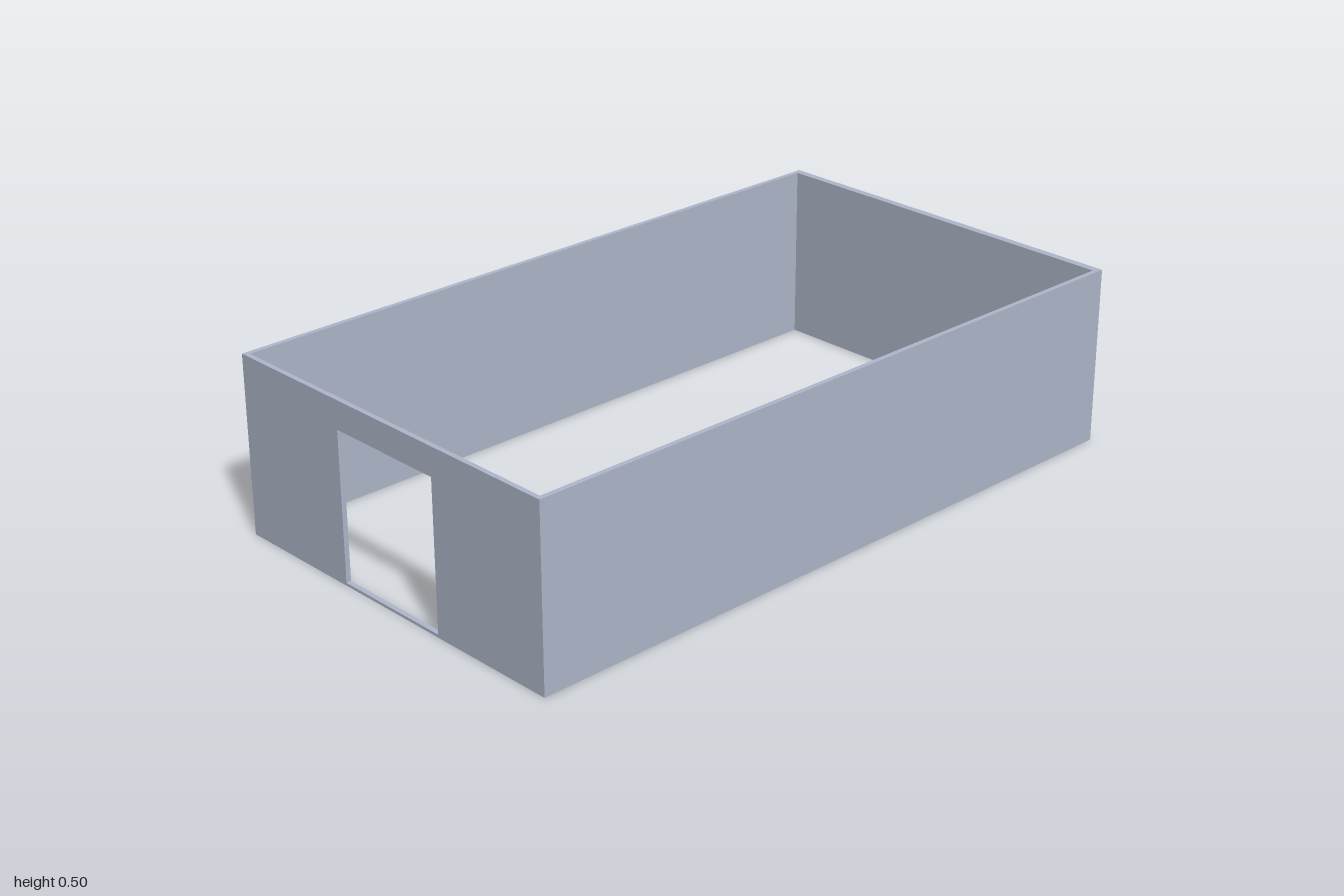
import * as THREE from 'three';

const W = 2, D = 1.13, H = 0.505;          // overall size
const T = 0.014, T_RIGHT = 0.022;          // wall thicknesses
const BASE = 0.008;                        // sill strip under the walls

export function createModel() {
  const model = new THREE.Group();
  model.name = 'walledRoom';
  const wallPaint = new THREE.MeshStandardMaterial({ color: 0xb0b8cc });
  wallPaint.name = 'blue grey wall';

  const add = (name, geometry, x, y, z) => {
    const mesh = new THREE.Mesh(geometry, wallPaint);
    mesh.name = name;
    mesh.position.set(x, y, z);
    model.add(mesh);
    return mesh;
  };

  // Base strip: a thin ring that also forms the door sill
  const outline = new THREE.Shape([
    new THREE.Vector2(-W / 2, -D / 2), new THREE.Vector2(W / 2, -D / 2),
    new THREE.Vector2(W / 2, D / 2), new THREE.Vector2(-W / 2, D / 2),
  ]);
  outline.holes.push(new THREE.Path([
    new THREE.Vector2(-W / 2 + T, -D / 2 + T), new THREE.Vector2(-W / 2 + T, D / 2 - T),
    new THREE.Vector2(W / 2 - T_RIGHT, D / 2 - T), new THREE.Vector2(W / 2 - T_RIGHT, -D / 2 + T),
  ]));
  const ring = new THREE.ExtrudeGeometry(outline, { depth: BASE, bevelEnabled: false });
  ring.rotateX(-Math.PI / 2);
  add('baseStrip', ring, 0, 0, 0);

  // Long walls
  const h = H - BASE, midY = BASE + h / 2;
  for (const [name, side] of [['frontWall', 1], ['backWall', -1]]) {
    add(name, new THREE.BoxGeometry(W, h, T), 0, midY, side * (D - T) / 2);
  }

  // Plain end wall
  const inner = D - 2 * T;
  add('plainEndWall', new THREE.BoxGeometry(T_RIGHT, h, inner), (W - T_RIGHT) / 2, midY, 0);

  // End wall with a doorway, drawn as one outline that steps around the opening
  const half = inner / 2, doorHalf = 0.18, doorTop = 0.425;
  const doorWall = new THREE.Shape([
    [-half, BASE], [-doorHalf, BASE], [-doorHalf, doorTop], [doorHalf, doorTop],
    [doorHalf, BASE], [half, BASE], [half, H], [-half, H],
  ].map(([z, y]) => new THREE.Vector2(z, y)));
  const doorGeometry = new THREE.ExtrudeGeometry(doorWall, { depth: T, bevelEnabled: false });
  doorGeometry.rotateY(Math.PI / 2);
  add('doorwayEndWall', doorGeometry, -W / 2, 0, 0);

  return model;
}
